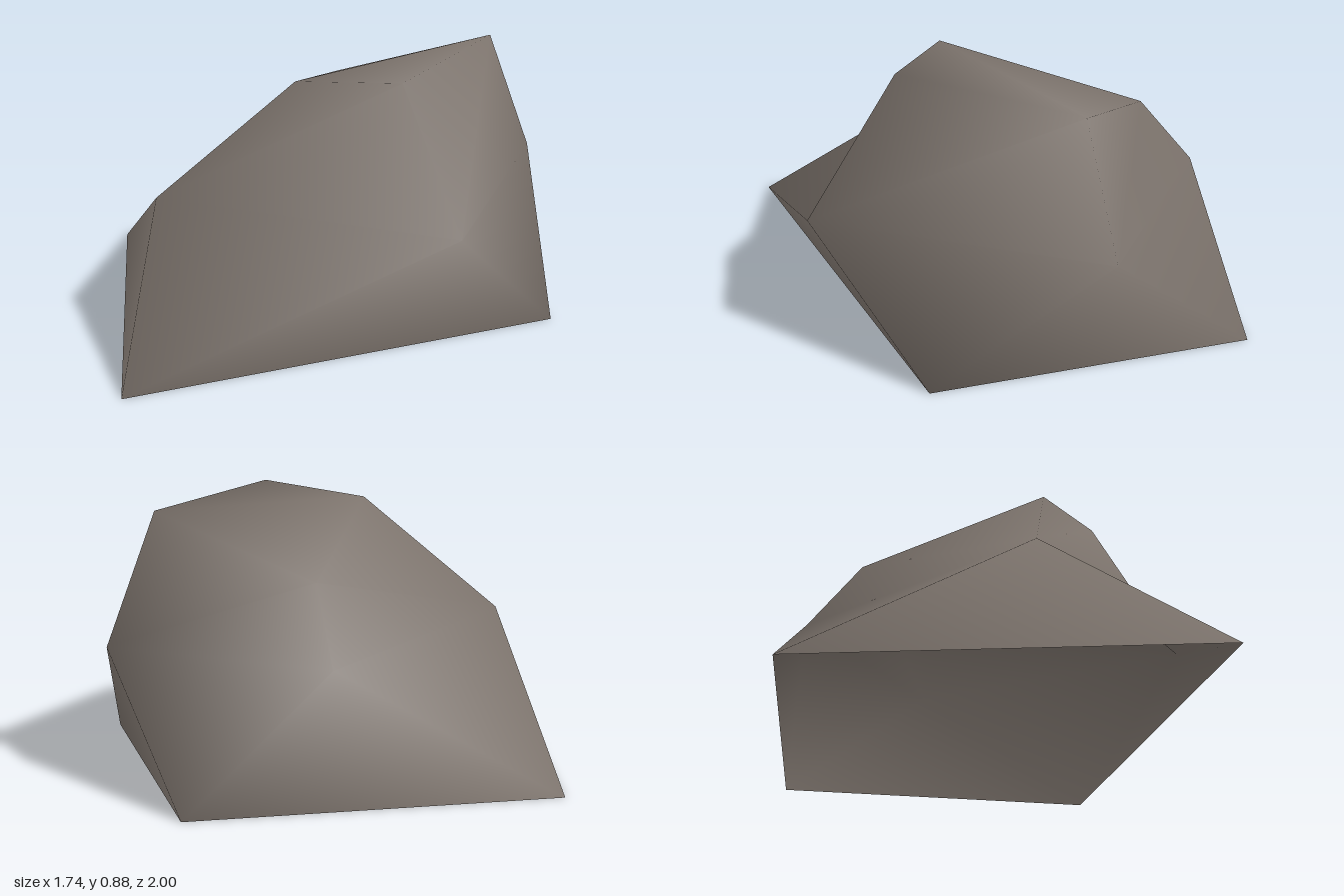
import * as THREE from 'three';

// Three rings of four corners, each counter-clockwise seen from above
const GROUND = [[-0.87, 0, -0.32], [-0.23, 0, 1.0], [0.865, 0, -0.13], [0.18, 0, -1.0]];
const SHOULDER = [[-0.4, 0.445, 0.37], [0.69, 0.445, 0.37], [0.61, 0.445, -0.67], [-0.2, 0.445, -0.67]];
const CROWN = [[0.03, 0.85, 0.17], [0.41, 0.885, 0.17], [0.5, 0.885, -0.52], [-0.08, 0.69, -0.52]];

function boulderGeometry() {
  const index = [];
  for (let i = 0; i < 4; i++) {
    const j = (i + 1) % 4;
    const [g1, s0, s1, c0, c1] = [j, 4 + i, 4 + j, 8 + i, 8 + j];
    // Lower band: the shoulder corners sit between the ground corners
    index.push(i, g1, s0, g1, s1, s0);
    // Upper band: each quad is split along its outer diagonal
    if (i === 3) index.push(s0, s1, c0, s1, c1, c0);
    else index.push(s0, s1, c1, s0, c1, c0);
  }
  // Sloping top
  index.push(8, 9, 10, 8, 10, 11);

  const geometry = new THREE.BufferGeometry();
  const points = [...GROUND, ...SHOULDER, ...CROWN].flat();
  geometry.setAttribute('position', new THREE.Float32BufferAttribute(points, 3));
  geometry.setIndex(index);
  geometry.computeVertexNormals();
  return geometry;
}

export function createModel() {
  const group = new THREE.Group();
  group.name = 'rock';

  // Open underneath, so both sides show
  const stone = new THREE.MeshStandardMaterial({ color: 0x7c736c, side: THREE.DoubleSide });
  stone.name = 'warm grey stone';

  const boulder = new THREE.Mesh(boulderGeometry(), stone);
  boulder.name = 'boulder';
  group.add(boulder);
  return group;
}
